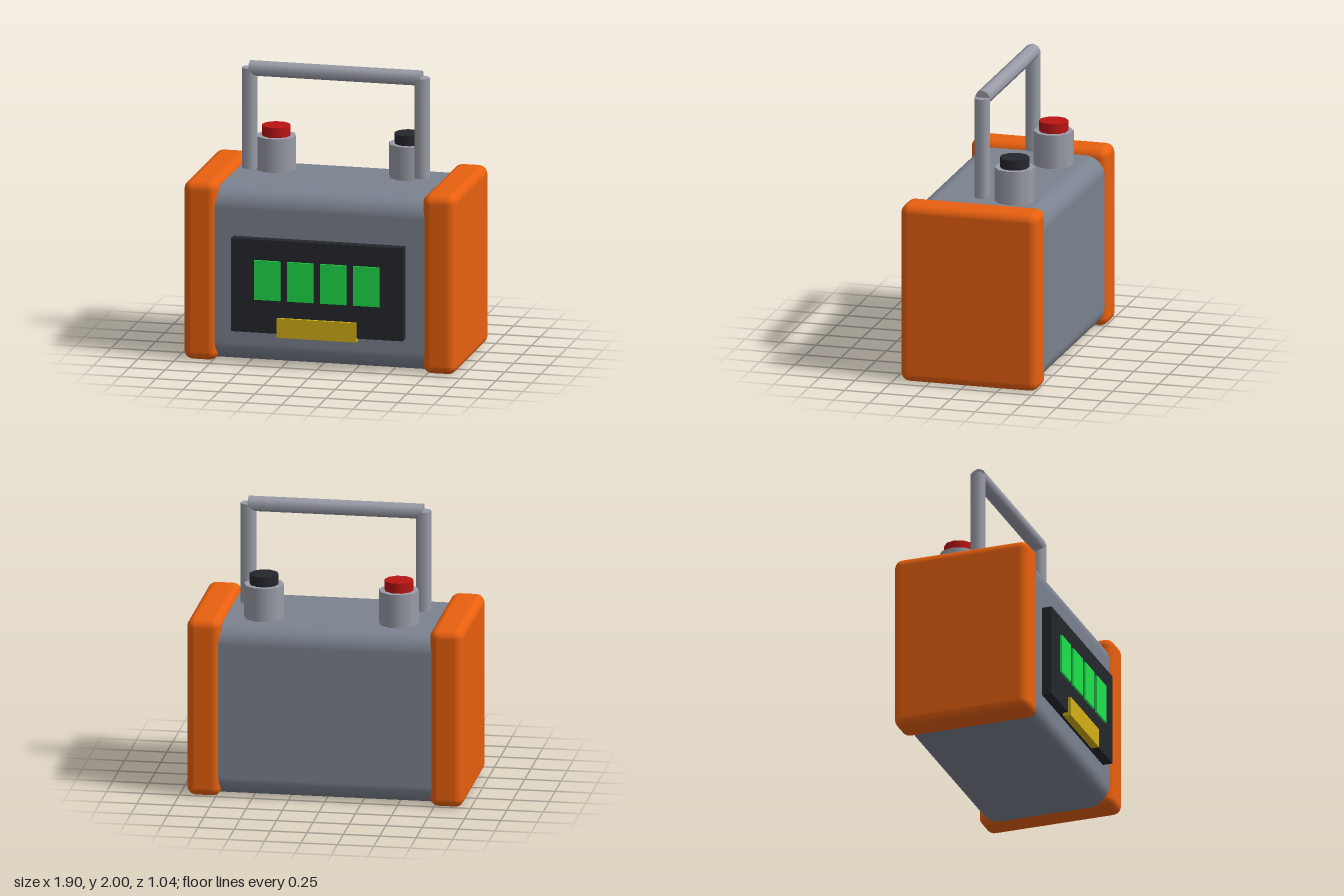
import * as THREE from 'three';
import { RoundedBoxGeometry } from 'three/addons/geometries/RoundedBoxGeometry.js';

const material = (color) => new THREE.MeshStandardMaterial({ color });

export function createModel() {
  const model = new THREE.Group();
  const casing = material(0x7b828f);
  const metal = material(0x9a9da8);
  const orange = material(0xe8600f);
  const dark = material(0x24272c);
  const green = material(0x1fe04b);
  const yellow = material(0xd4b016);
  const red = material(0xbb1414);

  function add(name, geometry, mat, x, y, z) {
    const mesh = new THREE.Mesh(geometry, mat);
    mesh.name = name;
    mesh.position.set(x, y, z);
    model.add(mesh);
    return mesh;
  }

  // Casing with its ends buried in the side bumpers
  add('body', new RoundedBoxGeometry(1.74, 1.2, 0.93, 4, 0.13), casing, 0, 0.605, -0.035);

  // Front display: panel, charge cells and label plate
  add('displayPanel', new THREE.BoxGeometry(1.2, 0.65, 0.08), dark, 0, 0.56, 0.46);
  for (let i = 0; i < 4; i++) {
    add('chargeCell', new THREE.BoxGeometry(0.183, 0.275, 0.03), green, (i - 1.5) * 0.231, 0.605, 0.5);
  }
  add('labelPlate', new THREE.BoxGeometry(0.555, 0.135, 0.055), yellow, 0, 0.28, 0.4925);

  for (const side of [-1, 1]) {
    const prefix = side > 0 ? 'left' : 'right';
    add(prefix + 'Bumper', new RoundedBoxGeometry(0.232, 1.25, 0.97, 4, 0.06), orange, side * 0.834, 0.625, -0.035);

    // Terminal post with a coloured cap
    const post = new THREE.CylinderGeometry(0.137, 0.137, 0.24, 10).rotateY(Math.PI / 2);
    const cap = new THREE.CylinderGeometry(0.1, 0.1, 0.075, 10).rotateY(Math.PI / 2);
    add(prefix + 'Terminal', post, metal, side * 0.463, 1.32, -0.22);
    add(prefix + 'TerminalCap', cap, side > 0 ? dark : red, side * 0.463, 1.4725, -0.22);

    // Upright of the carrying handle
    add(prefix + 'HandlePost', new THREE.CylinderGeometry(0.054, 0.054, 0.7, 8), metal, side * 0.602, 1.6, -0.032);
  }

  // Grip joining the two uprights
  const grip = new THREE.CylinderGeometry(0.054, 0.054, 1.2, 8).rotateZ(Math.PI / 2);
  add('handleGrip', grip, metal, 0, 1.946, -0.032);

  return model;
}
